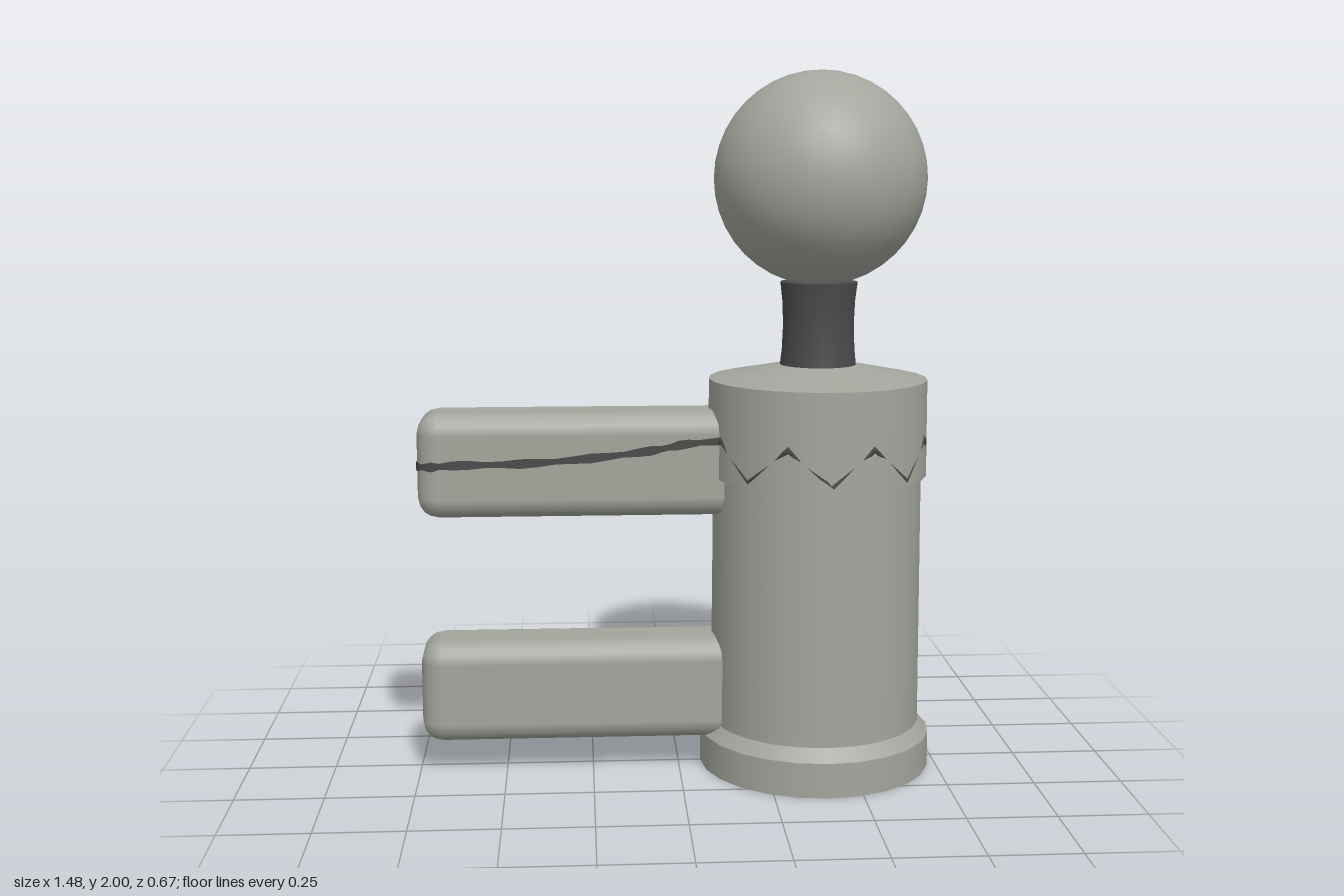
import * as THREE from 'three';
import { RoundedBoxGeometry } from 'three/addons/geometries/RoundedBoxGeometry.js';

const POST_X = 0.4;
const SIDES = 24;

export function createModel() {
  const stone = new THREE.MeshStandardMaterial({ name: 'stone grey', color: 0xa3a69d });
  const dark = new THREE.MeshStandardMaterial({ name: 'dark grey', color: 0x4a4a4a });
  const crackMat = new THREE.MeshStandardMaterial({ name: 'crack grey', color: 0x484a48, side: THREE.DoubleSide });

  const model = new THREE.Group();
  model.name = 'fencePost';

  const add = (parent, name, geometry, material, x = 0, y = 0, z = 0) => {
    const mesh = new THREE.Mesh(geometry, material);
    mesh.name = name;
    mesh.position.set(x, y, z);
    parent.add(mesh);
    return mesh;
  };

  // Turned post: each section is a cylinder so its rims stay crisp
  const post = new THREE.Group();
  post.name = 'post';
  post.position.x = POST_X;
  model.add(post);
  const section = (name, y0, y1, r0, r1, open = false) =>
    add(post, name, new THREE.CylinderGeometry(r1, r0, y1 - y0, SIDES, 1, open), stone, 0, (y0 + y1) / 2);
  section('base', 0, 0.1, 0.335, 0.335);
  section('baseBevel', 0.1, 0.135, 0.335, 0.304, true);
  section('shaft', 0.13, 0.87, 0.304, 0.299, true);
  section('collar', 0.86, 1.135, 0.314, 0.312);
  section('collarSlope', 1.135, 1.175, 0.312, 0.11);

  // Waisted neck and ball
  const neckProfile = [[0.11, 1.165], [0.104, 1.22], [0.101, 1.29], [0.104, 1.36], [0.11, 1.41], [0, 1.41]];
  add(post, 'neck', new THREE.LatheGeometry(neckProfile.slice(0, 5).map(p => new THREE.Vector2(...p)), SIDES), dark);
  add(post, 'neckTop', new THREE.CircleGeometry(0.11, SIDES).rotateX(-Math.PI / 2), dark, 0, 1.41);
  add(post, 'ball', new THREE.SphereGeometry(0.3, 32, 20), stone, 0, 1.7);

  // Zigzag groove line: straight strokes that dip into the collar between corners
  const corners = 16;
  const zigzag = new THREE.CurvePath();
  const corner = i => {
    const a = (i / corners) * Math.PI * 2;
    return new THREE.Vector3(Math.sin(a) * 0.308, i % 2 ? 0.975 : 0.875, Math.cos(a) * 0.308);
  };
  for (let i = 0; i < corners; i++) zigzag.add(new THREE.LineCurve3(corner(i), corner(i + 1)));
  add(post, 'zigzag', new THREE.TubeGeometry(zigzag, corners * 4, 0.01, 5, true), dark);

  // Two rounded rails running into the post
  const x0 = -0.74, x1 = 0.2, halfZ = 0.11, radius = 0.06;
  for (const [name, bottom, top] of [['upperRail', 0.75, 1.05], ['lowerRail', 0.095, 0.39]]) {
    add(model, name, new RoundedBoxGeometry(x1 - x0, top - bottom, halfZ * 2, 2, radius),
      stone, (x0 + x1) / 2, (top + bottom) / 2);
  }

  // Crack: a thin ribbon wrapped along the front, round the end and along the back
  const drift = new THREE.SplineCurve([
    [-0.75, 0.9], [-0.64, 0.91], [-0.45, 0.913], [-0.25, 0.927], [-0.08, 0.947], [0.02, 0.965], [0.16, 0.975],
  ].map(p => new THREE.Vector2(...p)));
  const side = drift.getPoints(24).filter(p => p.x > x0 + radius).reverse();
  const off = 0.003;
  const half = side.map(p => [p.x, p.y, halfZ + off]);
  for (let i = 0; i <= 6; i++) {
    const a = (i / 6) * Math.PI / 2;
    half.push([x0 + radius - Math.sin(a) * (radius + off), 0.907 - 0.007 * i / 6,
      halfZ - radius + Math.cos(a) * (radius + off)]);
  }
  const path = [...half, ...half.map(([x, y, z]) => [x, y, -z]).reverse()];
  const positions = [], index = [];
  path.forEach(([x, y, z], i) => {
    const w = 0.011 + 0.003 * Math.sin(i * 1.7);
    positions.push(x, y - w, z, x, y + w, z);
    if (i) {
      const k = i * 2;
      index.push(k - 2, k - 1, k, k, k - 1, k + 1);
    }
  });
  const crack = new THREE.BufferGeometry();
  crack.setAttribute('position', new THREE.Float32BufferAttribute(positions, 3));
  crack.setIndex(index);
  crack.computeVertexNormals();
  // Face the ribbon outwards
  if (crack.attributes.normal.getZ(0) < 0) {
    crack.setIndex(index.reverse());
    crack.computeVertexNormals();
  }
  add(model, 'crack', crack, crackMat);

  return model;
}
